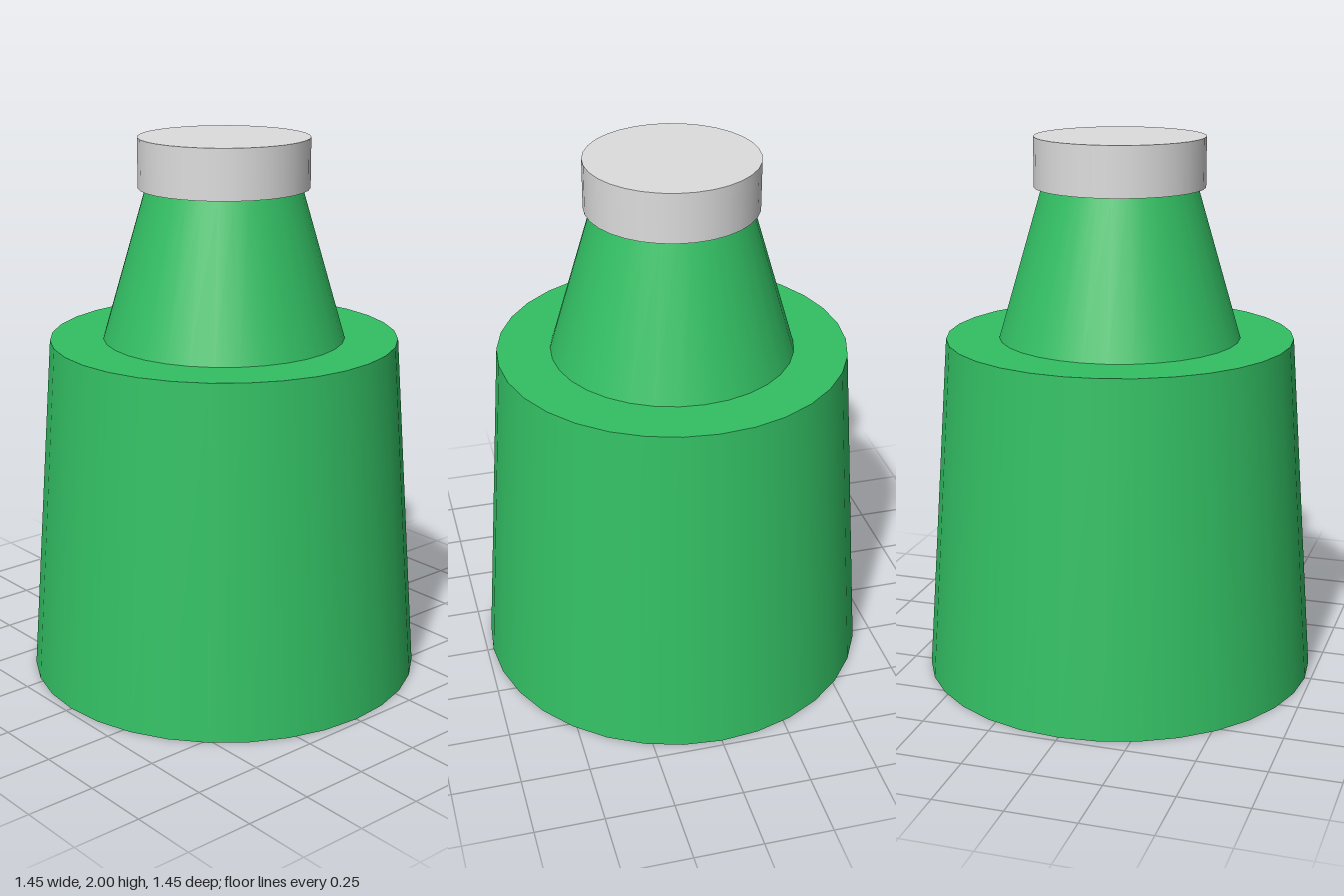
import * as THREE from 'three';

export function createModel() {
  const green = new THREE.MeshStandardMaterial({ color: 0x33c064 });
  green.name = 'bottle green';
  const grey = new THREE.MeshStandardMaterial({ color: 0xdddddd });
  grey.name = 'cap grey';

  const group = new THREE.Group();
  group.name = 'bottle';

  // Upright tapered cylinder spanning two heights
  const addTaper = (name, bottomRadius, topRadius, y0, y1, material) => {
    const geometry = new THREE.CylinderGeometry(topRadius, bottomRadius, y1 - y0, 32);
    const mesh = new THREE.Mesh(geometry, material);
    mesh.name = name;
    mesh.position.y = (y0 + y1) / 2;
    group.add(mesh);
  };

  addTaper('body', 0.727, 0.636, 0, 1.273, green);
  addTaper('neck', 0.442, 0.282, 1.273, 1.82, green);
  addTaper('cap', 0.309, 0.309, 1.82, 2, grey);

  return group;
}
